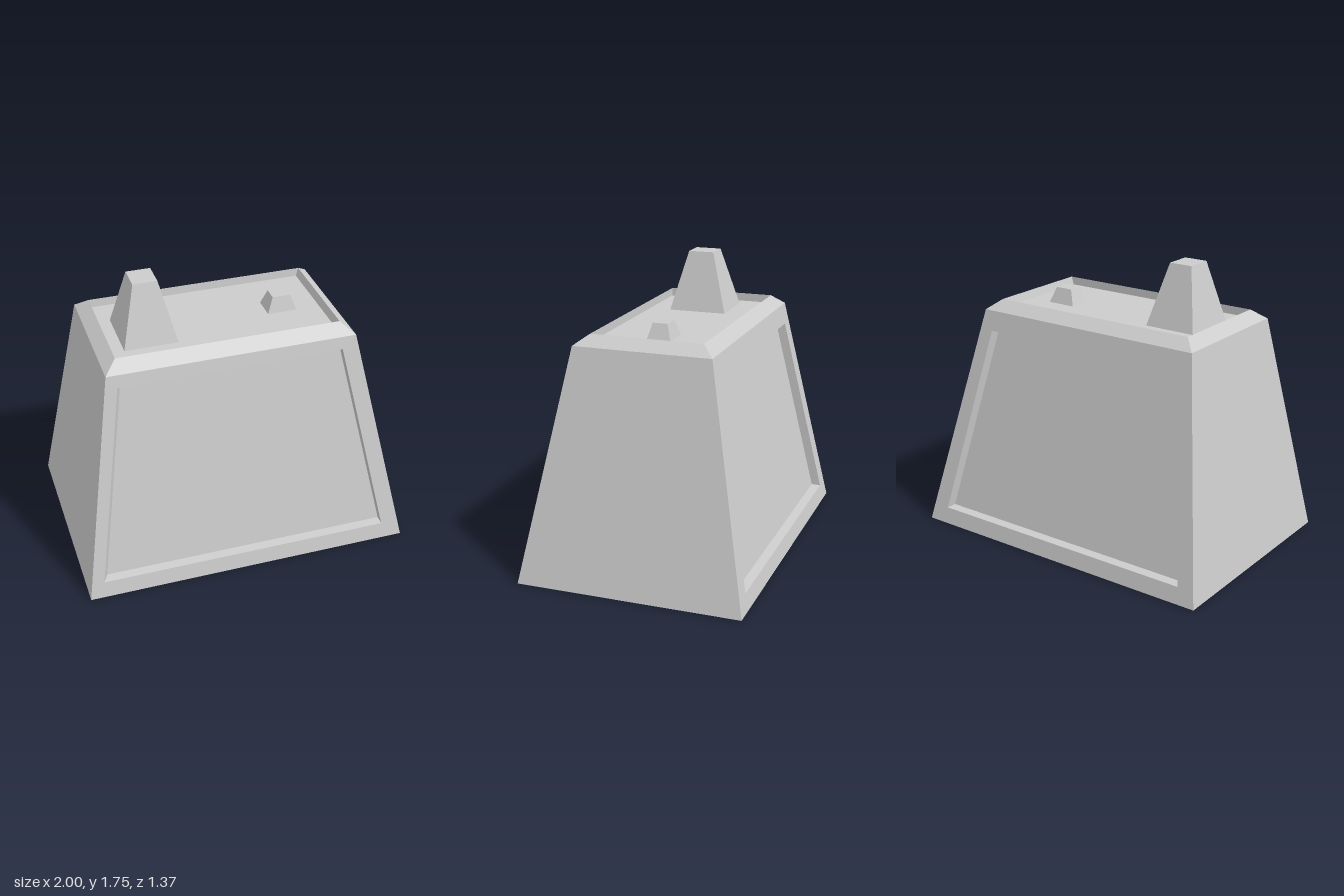
import * as THREE from 'three';

const material = new THREE.MeshStandardMaterial({ color: 0xcccccc, flatShading: true });

// Joins four-cornered loops (counter-clockwise from outside) and caps the last one.
function skin(name, loops) {
  const pos = [];
  const quad = (a, b, c, d) => [a, b, c, a, c, d].forEach((p) => pos.push(...p));
  for (let i = 0; i + 1 < loops.length; i++) {
    const a = loops[i], b = loops[i + 1];
    for (let k = 0; k < 4; k++) {
      const n = (k + 1) % 4;
      quad(a[k], a[n], b[n], b[k]);
    }
  }
  quad(...loops[loops.length - 1]);
  const geometry = new THREE.BufferGeometry();
  geometry.setAttribute('position', new THREE.Float32BufferAttribute(pos, 3));
  geometry.computeVertexNormals();
  const mesh = new THREE.Mesh(geometry, material);
  mesh.name = name;
  return mesh;
}

// Horizontal rectangle, counter-clockwise from above, starting at front -x.
const rect = (y, x0, x1, z0, z1) => [[x0, y, z1], [x1, y, z1], [x1, y, z0], [x0, y, z0]];

// Upright trapezoid lying on a sloped wall; depth sinks it into the body.
function panel(wallZ, sign, y0, y1, [bl, br, tr, tl], depth) {
  const point = (x, y) => [x, y, wallZ(y) - sign * depth];
  const loop = [point(bl, y0), point(br, y0), point(tr, y1), point(tl, y1)];
  return sign > 0 ? loop : loop.reverse();
}

export function createModel() {
  const group = new THREE.Group();
  group.name = 'taperedBlock';

  const base = rect(0, -1, 1, -0.685, 0.68);
  const shoulder = rect(1.38, -0.78, 0.71, -0.41, 0.425);
  const frontZ = (y) => 0.68 - (0.255 * y) / 1.38;
  const backZ = (y) => -0.685 + (0.275 * y) / 1.38;

  // Framed front and back walls with sunken panels
  const outline = [-1, 1, 0.71, -0.78];
  group.add(skin('frontWall', [
    panel(frontZ, 1, 0, 1.38, outline, 0),
    panel(frontZ, 1, 0.1, 1.305, [-0.91, 0.87, 0.625, -0.72], 0),
    panel(frontZ, 1, 0.105, 1.305, [-0.88, 0.87, 0.625, -0.69], 0.055),
  ]));
  group.add(skin('backWall', [
    panel(backZ, -1, 0, 1.38, outline, 0),
    panel(backZ, -1, 0.1, 1.26, [-0.88, 0.87, 0.645, -0.705], 0),
    panel(backZ, -1, 0.105, 1.26, [-0.87, 0.86, 0.635, -0.695], 0.055),
  ]));

  // Plain side walls and underside
  group.add(skin('leftWall', [[base[1], base[2], shoulder[2], shoulder[1]]]));
  group.add(skin('rightWall', [[base[3], base[0], shoulder[0], shoulder[3]]]));
  group.add(skin('underside', [[...base].reverse()]));

  // Bevelled rim around a sunken roof
  group.add(skin('roof', [
    shoulder,
    rect(1.44, -0.705, 0.635, -0.335, 0.345),
    rect(1.39, -0.705, 0.62, -0.33, 0.345),
  ]));

  // Tall and short tapered stacks standing on the roof
  group.add(skin('tallStack', [
    rect(1.39, -0.62, -0.3, -0.15, 0.21),
    rect(1.755, -0.535, -0.39, -0.045, 0.115),
  ]));
  group.add(skin('shortStack', [
    rect(1.39, 0.295, 0.475, -0.08, 0.065),
    rect(1.485, 0.33, 0.44, -0.05, 0.04),
  ]));

  return group;
}
